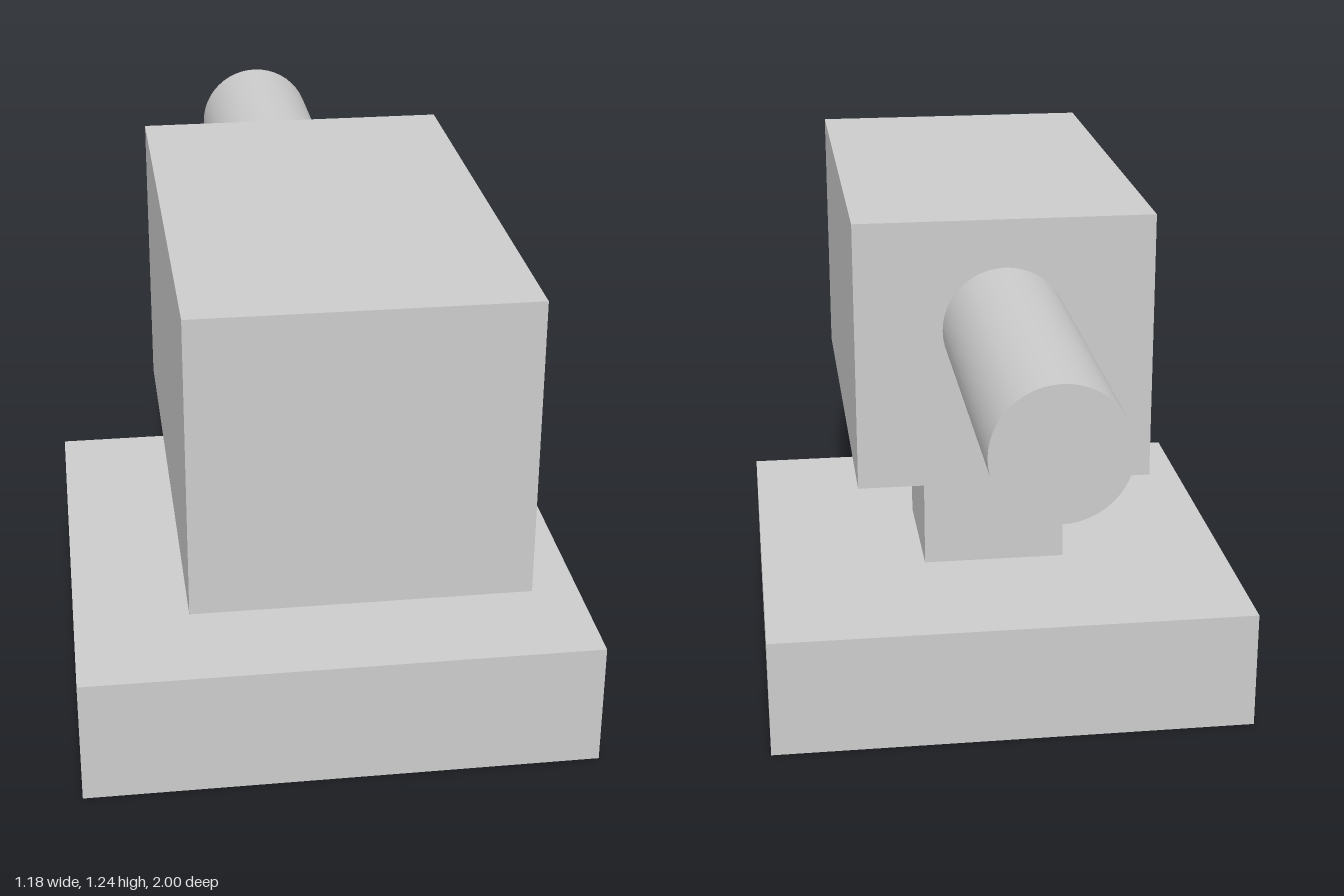
import * as THREE from 'three';

export function createModel() {
  const group = new THREE.Group();
  const material = new THREE.MeshStandardMaterial({ color: 0xcccccc });

  const add = (name, geometry, x, y, z) => {
    const mesh = new THREE.Mesh(geometry, material);
    mesh.name = name;
    mesh.position.set(x, y, z);
    group.add(mesh);
    return mesh;
  };

  const axisZ = 0.206; // shared centre of base and neck

  // Square foot and the post standing on it
  add('base', new THREE.BoxGeometry(1.176, 0.294, 1.176), 0, 0.147, axisZ);
  add('neck', new THREE.BoxGeometry(0.353, 0.294, 0.353), 0, 0.441, axisZ);

  // Main housing, overhanging the base at the front
  add('body', new THREE.BoxGeometry(0.706, 0.647, 1.176), 0, 0.912, 0.412);

  // Round barrel running out of the back of the housing
  const barrel = new THREE.CylinderGeometry(0.147, 0.147, 0.824, 48).rotateX(Math.PI / 2);
  add('barrel', barrel, 0, 0.974, -0.588);

  return group;
}
